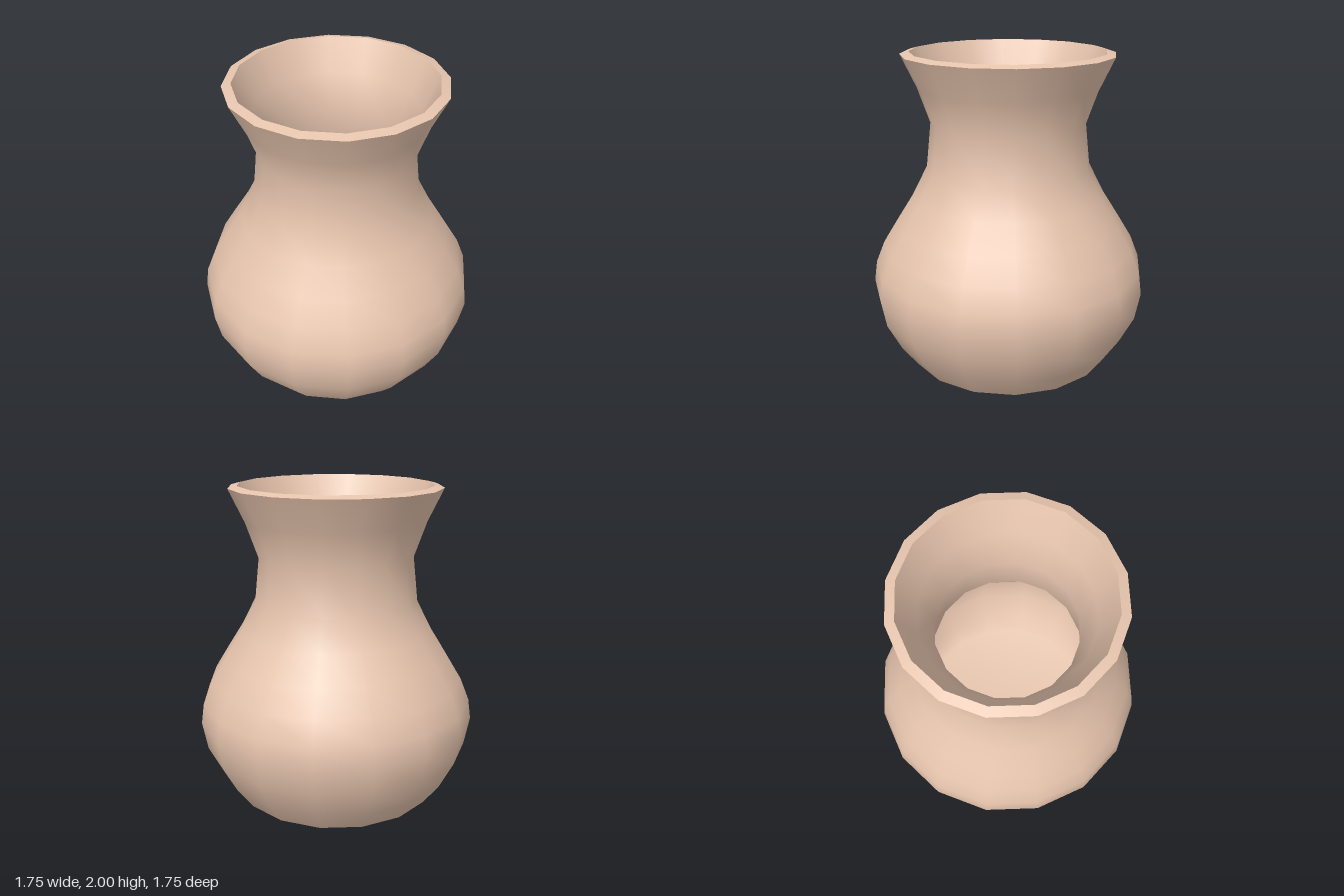
import * as THREE from 'three';

const SIDES = 16;
const FLAT = Math.cos(Math.PI / SIDES); // half width across flats / corner radius

// Half widths and heights, from the foot up to the lip
const OUTER = [
  [0.65, 0], [0.75, 0.14], [0.84, 0.32], [0.873, 0.5], [0.855, 0.63], [0.8, 0.77],
  [0.71, 0.92], [0.605, 1.09], [0.51, 1.28], [0.48, 1.56], [0.555, 1.78], [0.65, 1.985],
];
// The inside, from the lip down to the middle of the floor
const INNER = [
  [0.595, 2], [0.5, 1.79], [0.42, 1.57], [0.45, 1.27], [0.55, 1.06], [0.655, 0.89],
  [0.745, 0.74], [0.795, 0.62], [0.813, 0.5], [0.782, 0.34], [0.7, 0.18], [0.615, 0.06], [0, 0.06],
];

export function createModel() {
  const vase = new THREE.Group();
  vase.name = 'vase';
  const clay = new THREE.MeshStandardMaterial({ color: 0xe6c4ad });

  // Each part is a separate turned surface, so the edges between parts stay sharp
  const turn = (name, profile) => {
    const points = profile.map(([w, y]) => new THREE.Vector2(w / FLAT, y));
    const mesh = new THREE.Mesh(new THREE.LatheGeometry(points, SIDES, Math.PI / SIDES), clay);
    mesh.name = name;
    vase.add(mesh);
  };

  turn('base', [[0, 0], OUTER[0]]);
  turn('outerWall', OUTER);
  turn('rim', [OUTER[OUTER.length - 1], INNER[0]]);
  turn('innerWall', INNER);
  return vase;
}
